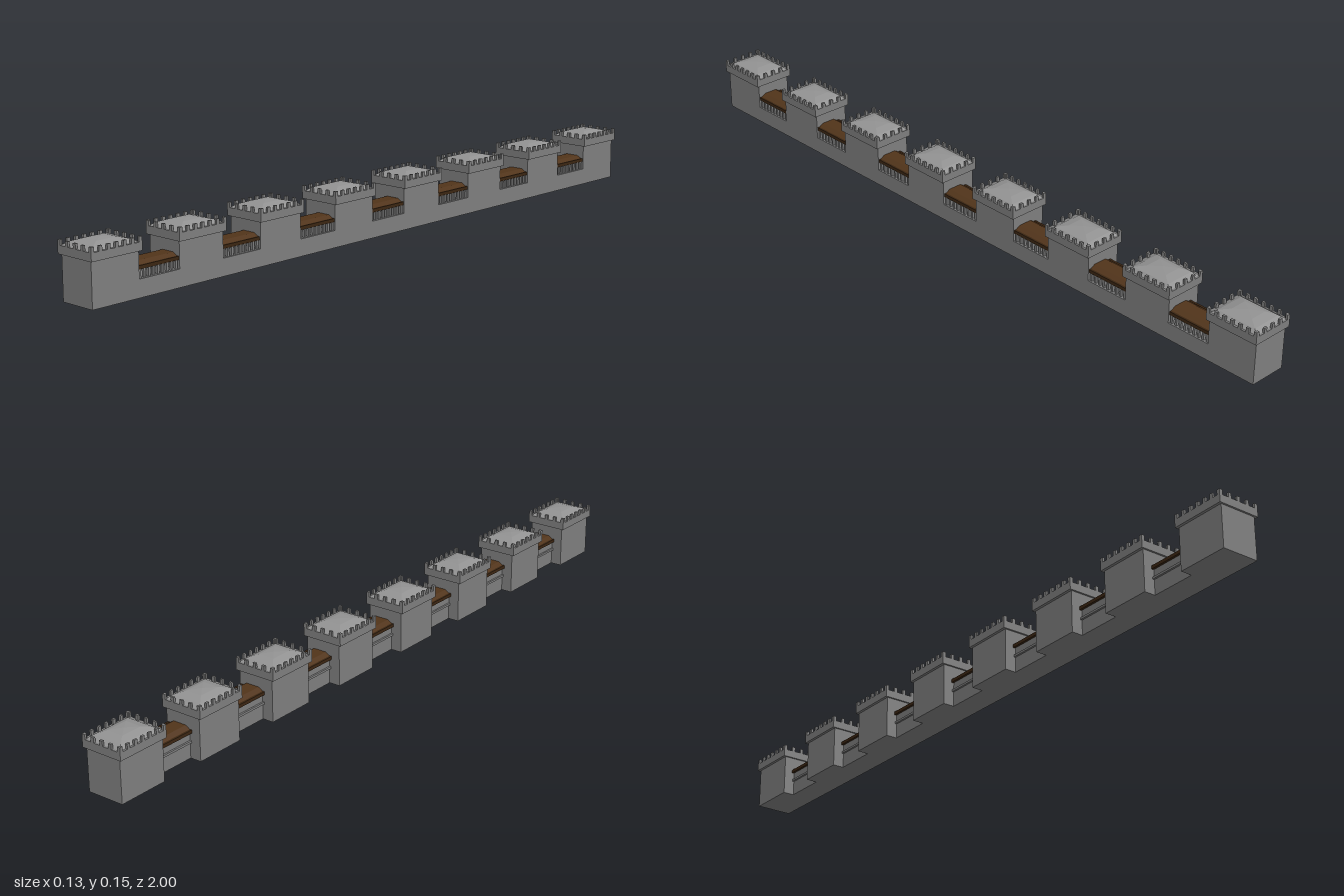
import * as THREE from 'three';

const material = color => new THREE.MeshStandardMaterial({ color, flatShading: true });
const stone = material(0x7f7f7f);
const slate = material(0x929292);
const wood = material(0x51341a);
const darkWood = material(0x3c2612);

const TOWERS = 8, PITCH = 0.264;
const BODY_X = 0.103, BODY_Z = 0.14, BODY_H = 0.113;
const CROWN_X = 0.118, CROWN_Z = 0.15, BAND_TOP = 0.134, MERLON_TOP = 0.147;
const GAP = PITCH - BODY_Z;

function add(parent, name, geometry, x, y, z, mat = stone) {
  const mesh = new THREE.Mesh(geometry, mat);
  mesh.name = name;
  mesh.position.set(x, y, z);
  parent.add(mesh);
}

// Box given by its x and y limits, centred on z
function block(parent, name, x0, x1, y0, y1, z, depth, mat) {
  add(parent, name, new THREE.BoxGeometry(x1 - x0, y1 - y0, depth),
    (x0 + x1) / 2, (y0 + y1) / 2, z, mat);
}

// Evenly spaced positions along a side
const spread = (n, length) => Array.from({ length: n }, (_, i) => (i / (n - 1) - 0.5) * length);

function tower() {
  const g = new THREE.Group();
  g.name = 'tower';
  block(g, 'towerBody', -BODY_X / 2, BODY_X / 2, 0, BODY_H, 0, BODY_Z);
  block(g, 'crownBand', -CROWN_X / 2, CROWN_X / 2, BODY_H, BAND_TOP, 0, CROWN_Z);

  // Merlons around the crown
  const w = 0.009, t = 0.006, h = MERLON_TOP - BAND_TOP;
  const y = BAND_TOP + h / 2;
  for (const s of [-1, 1]) {
    for (const x of spread(5, CROWN_X - w))
      add(g, 'merlon', new THREE.BoxGeometry(w, h, t), x, y, s * (CROWN_Z - t) / 2);
    for (const z of spread(7, CROWN_Z - w))
      add(g, 'merlon', new THREE.BoxGeometry(t, h, w), s * (CROWN_X - t) / 2, y, z);
  }

  // Low four-sided domed roof
  const profile = [[0.5, 0], [0.4, 0.008], [0.22, 0.0145], [0, 0.0165]]
    .map(([r, py]) => new THREE.Vector2(r * Math.SQRT2, py));
  const roof = new THREE.LatheGeometry(profile, 4).rotateY(Math.PI / 4);
  roof.scale(CROWN_X - 2 * t, 1, CROWN_Z - 2 * t);
  add(g, 'towerRoof', roof, 0, BAND_TOP, 0, slate);
  return g;
}

function wallSection() {
  const g = new THREE.Group();
  g.name = 'wallSection';
  const outer = BODY_X / 2;
  block(g, 'wallBase', -0.02, outer, 0, 0.045, 0, GAP);
  block(g, 'wallLedge', -0.025, -0.018, 0.041, 0.047, 0, GAP);
  block(g, 'rearParapet', -0.02, -0.008, 0.045, 0.07, 0, GAP);

  // Row of posts along the open side
  for (const z of spread(9, GAP - 0.012))
    block(g, 'post', outer - 0.011, outer - 0.004, 0.045, 0.071, z, 0.006);

  // Covered walkway roof with bevelled sides and dark eaves
  const shape = new THREE.Shape([[-0.026, 0.068], [0.048, 0.068], [0.048, 0.072],
    [0.03, 0.083], [-0.008, 0.083], [-0.026, 0.072]].map(p => new THREE.Vector2(...p)));
  const roof = new THREE.ExtrudeGeometry(shape, { depth: GAP, bevelEnabled: false });
  add(g, 'walkwayRoof', roof, 0, 0, -GAP / 2, wood);
  block(g, 'eaveBeam', -0.027, -0.021, 0.067, 0.076, 0, GAP, darkWood);
  block(g, 'eaveBeam', 0.043, 0.049, 0.067, 0.076, 0, GAP, darkWood);
  return g;
}

export function createModel() {
  const model = new THREE.Group();
  model.name = 'fortressWall';
  const row = new THREE.Group();
  row.name = 'wallRow';
  row.rotation.y = -0.007;
  for (let i = 0; i < TOWERS; i++) {
    const z = (i - (TOWERS - 1) / 2) * PITCH;
    const t = tower();
    t.position.z = z;
    row.add(t);
    if (i < TOWERS - 1) {
      const section = wallSection();
      section.position.z = z + PITCH / 2;
      row.add(section);
    }
  }
  model.add(row);
  return model;
}
